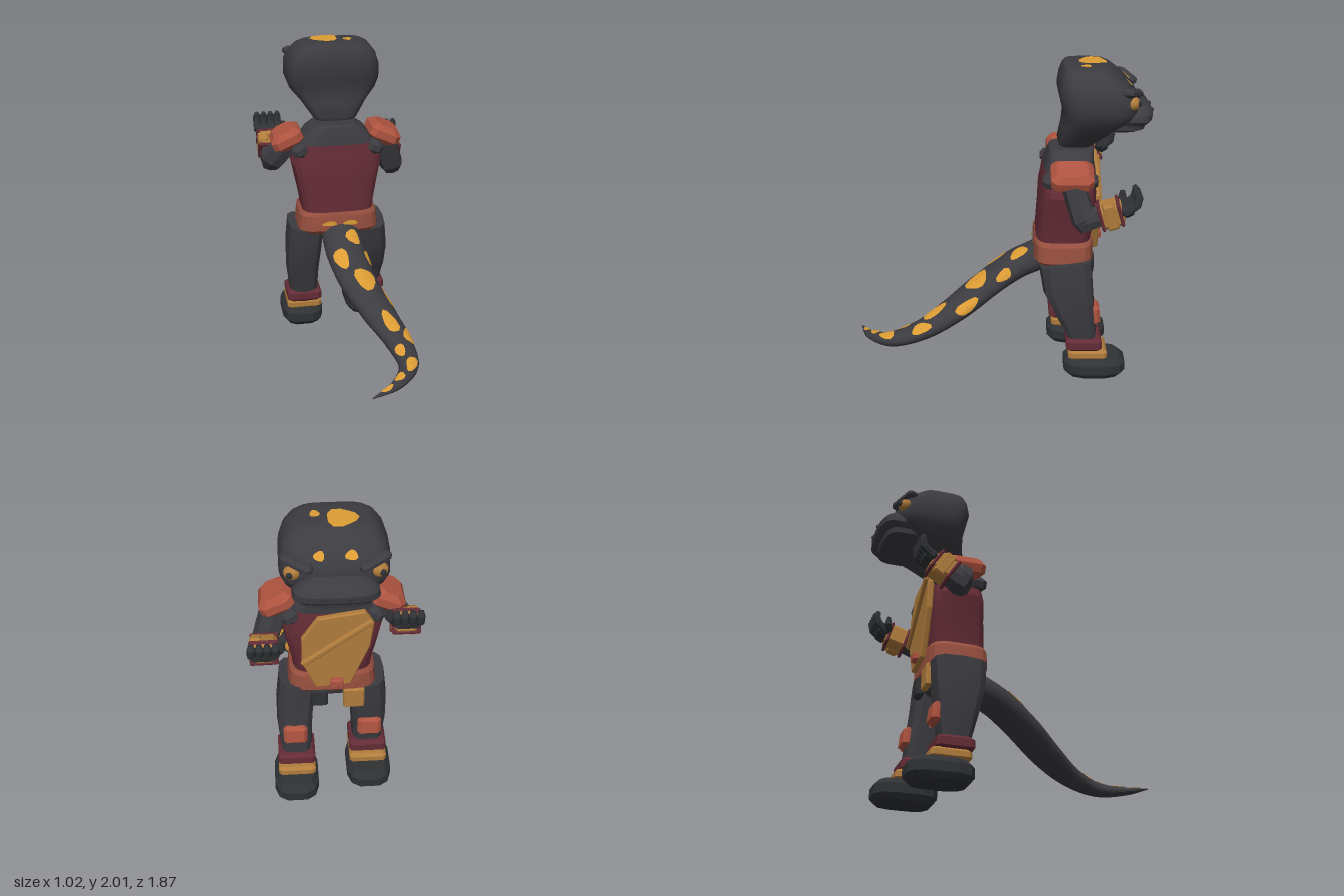
import * as THREE from 'three';
import { toCreasedNormals } from 'three/addons/utils/BufferGeometryUtils.js';

const V = (x, y, z) => new THREE.Vector3(x, y, z);
const mat = (name, color) => Object.assign(new THREE.MeshStandardMaterial({ color }), { name });
const pow = (v, e) => Math.sign(v) * Math.abs(v) ** e;

// Skin a row of equal-sized rings, with optional end caps
function loft(rings, crease = 0.6, caps = true) {
  const n = rings[0].length, pos = [];
  const tri = (...ps) => ps.forEach(p => pos.push(p.x, p.y, p.z));
  for (let i = 0; i + 1 < rings.length; i++) for (let k = 0; k < n; k++) {
    const a = rings[i], b = rings[i + 1], j = (k + 1) % n;
    tri(a[k], b[k], a[j]);
    tri(b[k], b[j], a[j]);
  }
  if (caps) [rings[0], rings[rings.length - 1]].forEach((r, end) => {
    const c = r.reduce((s, p) => s.add(p), V(0, 0, 0)).divideScalar(n);
    for (let k = 0; k < n; k++) {
      const j = (k + 1) % n;
      end ? tri(c, r[j], r[k]) : tri(c, r[k], r[j]);
    }
  });
  const g = new THREE.BufferGeometry();
  g.setAttribute('position', new THREE.Float32BufferAttribute(pos, 3));
  return toCreasedNormals(g, crease);
}

// Horizontal rounded rings from rows [y, half width, back z, front z]
function stack(rows, e = 0.5, n = 24, crease = 0.6) {
  return loft(rows.map(([y, w, zb, zf]) => Array.from({ length: n }, (_, k) => {
    const a = (k + 0.5) / n * Math.PI * 2;
    return V(-w * pow(Math.sin(a), e), y, (zb + zf) / 2 + (zb - zf) / 2 * pow(Math.cos(a), e));
  })), crease);
}

// Box with chamfered edges
function block(w, h, d, c = 0.02) {
  const row = (y, s) => {
    const x = w / 2 - s, z = d / 2 - s;
    return [[x - c, z], [-x + c, z], [-x, z - c], [-x, -z + c], [-x + c, -z], [x - c, -z], [x, -z + c], [x, z - c]]
      .map(p => V(p[0], y, p[1]));
  };
  return loft([row(-h / 2, c), row(-h / 2 + c, 0), row(h / 2 - c, 0), row(h / 2, c)], 0.1);
}

// Sweep along rows [x, y, z, side radius, up radius]
function sweep(rows, ref, e = 0.75, n = 10, crease = 0.5) {
  const p = rows.map(r => V(r[0], r[1], r[2]));
  return loft(rows.map((r, i) => {
    const t = p[Math.min(i + 1, p.length - 1)].clone().sub(p[Math.max(i - 1, 0)]).normalize();
    const side = ref.clone().cross(t).normalize(), up = t.clone().cross(side);
    return Array.from({ length: n }, (_, k) => {
      const a = k / n * Math.PI * 2;
      return p[i].clone().addScaledVector(side, r[3] * pow(Math.sin(a), e)).addScaledVector(up, r[4] * pow(Math.cos(a), e));
    });
  }), crease);
}

// Thin blotch laid on a surface; at(u, v) gives a point on it
function patch(at, u, v, ru, rv, seed) {
  return loft([0.02, 0.35, 0.7, 1].map(s => Array.from({ length: 12 }, (_, k) => {
    const a = k / 12 * Math.PI * 2, w = s * (1 + 0.12 * Math.sin(3 * a + seed));
    return at(u + ru * w * Math.sin(a), v + rv * w * Math.cos(a));
  })), 1, false);
}

export function createModel() {
  const root = new THREE.Group();
  const dark = mat('charcoal', 0x3b3b40), black = mat('black', 0x2f3134), maroon = mat('maroon', 0x642c36);
  const red = mat('brick red', 0xae5340), rust = mat('rust belt', 0x98503f), tan = mat('tan leather', 0xb07c3c);
  const gold = mat('gold spots', 0xdc9c34);
  gold.side = THREE.DoubleSide;
  const add = (name, geo, m, at = [0, 0, 0], rot = [0, 0, 0], parent = root) => {
    const o = new THREE.Mesh(geo, m);
    o.name = name;
    o.position.set(...at);
    o.rotation.set(...rot);
    parent.add(o);
    return o;
  };

  // Torso
  add('shoulders', stack([[1.28, 0.275, -0.26, -0.575], [1.36, 0.25, -0.265, -0.585], [1.43, 0.2, -0.29, -0.58],
    [1.47, 0.14, -0.3, -0.58], [1.48, 0.12, -0.32, -0.56]], 0.5, 20, 0.4), dark);
  add('tunic', stack([[0.87, 0.24, -0.22, -0.57], [0.95, 0.245, -0.225, -0.58], [1.1, 0.275, -0.235, -0.6],
    [1.22, 0.3, -0.24, -0.6], [1.3, 0.28, -0.255, -0.595], [1.36, 0.25, -0.262, -0.59]], 0.5, 20, 0.4), maroon);
  add('belt', stack([[0.75, 0.255, -0.23, -0.57], [0.775, 0.272, -0.21, -0.59], [0.88, 0.262, -0.21, -0.59],
    [0.905, 0.245, -0.22, -0.58]], 0.45, 20, 0.4), rust);
  add('pelvis', stack([[0.66, 0.1, -0.32, -0.5], [0.71, 0.2, -0.27, -0.55], [0.78, 0.24, -0.25, -0.56]], 0.5, 16), dark);
  for (const x of [-0.07, 0.07]) add('beltSpot', patch((u, v) => V(u, v, -0.205), x, 0.83, 0.05, 0.017, 1), gold);

  // Chest apron, strap and pouches
  const apron = new THREE.Shape([[0.08, 1.34], [0.17, 1.2], [0.17, 1.02], [0.09, 0.83], [-0.11, 0.85],
    [-0.22, 1.13], [-0.24, 1.3], [-0.19, 1.38]].map(p => new THREE.Vector2(...p)));
  add('chestApron', new THREE.ExtrudeGeometry(apron, { depth: 0.025, bevelSize: 0.008, bevelThickness: 0.008, bevelSegments: 1 }),
    tan, [0.01, 0, -0.612]);
  add('apronStrap', block(0.52, 0.04, 0.03, 0.01), tan, [-0.02, 1.175, -0.628], [0, 0, -0.64]);
  add('buckle', block(0.08, 0.06, 0.04, 0.01), red, [-0.02, 0.87, -0.63]);
  add('tanPouch', block(0.13, 0.15, 0.04, 0.01), tan, [-0.13, 0.7, -0.58]);
  add('darkPouch', block(0.1, 0.13, 0.05, 0.012), black, [0.08, 0.71, -0.575]);

  // Head
  const headRows = [[1.5, 0.13, -0.36, -0.57], [1.52, 0.15, -0.352, -0.59], [1.62, 0.222, -0.375, -0.71], [1.69, 0.285, -0.382, -0.8],
    [1.75, 0.308, -0.37, -0.83], [1.85, 0.305, -0.345, -0.82], [1.92, 0.28, -0.355, -0.75], [1.97, 0.24, -0.37, -0.69],
    [1.993, 0.2, -0.385, -0.65], [2, 0.15, -0.41, -0.6]];
  add('head', stack(headRows, 0.5, 32, 0.7), dark);
  add('upperJaw', stack([[1.665, 0.225, -0.7, -0.9], [1.69, 0.242, -0.7, -0.925], [1.73, 0.235, -0.7, -0.928],
    [1.77, 0.2, -0.7, -0.9], [1.8, 0.14, -0.7, -0.85]], 0.6), dark);
  add('lowerJaw', stack([[1.61, 0.17, -0.62, -0.85], [1.63, 0.21, -0.62, -0.885], [1.69, 0.215, -0.62, -0.895]], 0.6), dark);
  for (const s of [-1, 1]) {
    add('nostril', new THREE.SphereGeometry(0.016, 8, 6), dark, [s * 0.07, 1.725, -0.922]);
    const eye = add('eye', new THREE.SphereGeometry(0.05, 12, 8), tan, [s * 0.235, 1.81, -0.785]);
    eye.scale.set(1, 0.85, 0.9);
    add('pupil', new THREE.SphereGeometry(0.02, 8, 6), black, [s * 0.25, 1.812, -0.818]);
    add('brow', block(0.19, 0.055, 0.075, 0.018), dark, [s * 0.21, 1.865, -0.785], [0, -s * 0.5, s * 0.22]);
  }
  // Crown and forehead blotches follow the brow profile
  const crown = (x, z) => {
    for (let i = 5; i < 9; i++) {
      const [y0, , , f0] = headRows[i], [y1, , , f1] = headRows[i + 1];
      if (z < f1) return V(x, y0 + (y1 - y0) * (z - f0) / (f1 - f0) + 0.006, z - 0.003);
    }
    return V(x, 2.004, z);
  };
  [[-0.045, -0.56, 0.088, 0.085], [0.1, -0.515, 0.028, 0.034], [-0.085, -0.775, 0.035, 0.02], [0.09, -0.775, 0.03, 0.02]]
    .forEach((p, i) => add('headSpot', patch(crown, ...p, i), gold));

  // Arms: shoulder pad, bent limb, gauntlet and hand
  const arms = [
    { s: 1, elbow: [0.4, 1.13, -0.5], wrist: [0.41, 1.2, -0.73], hand: [0, 0.5, -0.85] },
    { s: -1, elbow: [-0.42, 1.22, -0.47], wrist: [-0.42, 1.33, -0.645], hand: [0, 0.5, -0.8] }];
  for (const { s, elbow, wrist, hand } of arms) {
    add('shoulderPad', block(0.21, 0.12, 0.26, 0.035), red, [s * 0.325, 1.385, -0.43], [0, 0, -s * 0.42]);
    add('shoulderJoint', block(0.1, 0.09, 0.34, 0.025), dark, [s * 0.25, 1.325, -0.425], [0, 0, -s * 0.4]);
    add('upperArm', sweep([[s * 0.29, 1.38, -0.42, 0.06, 0.06], [s * 0.34, 1.32, -0.44, 0.085, 0.075],
      [...elbow, 0.08, 0.075], [elbow[0] + s * 0.01, elbow[1] - 0.05, elbow[2] - 0.03, 0.055, 0.055]], V(0, 0, 1), 0.7, 8, 0.3), dark);
    add('forearm', sweep([[...elbow, 0.07, 0.075], [...wrist, 0.05, 0.055]], V(1, 0, 0), 0.7, 8, 0.3), dark);
    const e = V(...elbow), w = V(...wrist), dir = w.clone().sub(e).normalize();
    const cuff = new THREE.Group();
    cuff.name = 'gauntlet';
    cuff.position.copy(w).addScaledVector(dir, -0.07);
    cuff.quaternion.setFromUnitVectors(V(0, 1, 0), dir);
    add('gauntletSleeve', block(0.155, 0.15, 0.14), tan, [0, 0, 0], [0, 0, 0], cuff);
    for (const y of [-0.062, 0.055]) add('gauntletBand', block(0.168, 0.022, 0.152, 0.008), maroon, [0, y, 0], [0, 0, 0], cuff);
    add('gauntletPlate', block(0.07, 0.08, 0.165, 0.012), tan, [s * 0.045, -0.003, 0], [0, 0, 0], cuff);
    const palm = new THREE.Group();
    palm.name = 'hand';
    palm.position.copy(w);
    palm.quaternion.setFromUnitVectors(V(0, 1, 0), V(...hand).normalize());
    add('palm', block(0.165, 0.09, 0.075, 0.022), black, [0, 0.03, 0], [0, 0, 0], palm);
    for (let i = 0; i < 4; i++) {
      const x = (i - 1.5) * 0.046;
      add('finger', sweep([[x, 0.04, 0, 0.024, 0.024], [x, 0.095, 0.01, 0.028, 0.025], [x, 0.128, 0.045, 0.026, 0.024],
        [x, 0.13, 0.075, 0.014, 0.014]], V(1, 0, 0), 0.85, 8, 0.4), black, [0, 0, 0], [0, 0, 0], palm);
    }
    add('thumb', sweep([[-s * 0.06, 0, 0, 0.026, 0.026], [-s * 0.1, 0.03, 0.03, 0.026, 0.026], [-s * 0.1, 0.05, 0.07, 0.016, 0.016]],
      V(1, 0, 0), 0.8, 8, 0.4), black, [0, 0, 0], [0, 0, 0], palm);
    root.add(cuff, palm);
  }

  // Legs: the right one stands slightly further back
  for (const s of [-1, 1]) {
    const b = s < 0 ? 0.09 : 0;
    add('leg', sweep([[s * 0.23, 0.15, -0.53 + b, 0.085, 0.085], [s * 0.23, 0.3, -0.52 + b, 0.1, 0.1], [s * 0.235, 0.45, -0.475 + b * 0.6, 0.112, 0.13],
      [s * 0.228, 0.6, -0.43 + b * 0.2, 0.12, 0.16], [s * 0.21, 0.77, -0.41, 0.12, 0.17]], V(0, 0, 1), 0.6, 12, 0.35), dark);
    add('kneePad', block(0.15, 0.13, 0.06), red, [s * 0.235, 0.425, -0.605 + b * 0.6], [0.1, 0, 0]);
    add('shinCuff', block(0.235, 0.085, 0.23, 0.018), maroon, [s * 0.23, 0.23, -0.535 + b]);
    add('ankleWrap', block(0.235, 0.07, 0.25, 0.018), tan, [s * 0.23, 0.16, -0.56 + b]);
    add('boot', stack([[0, 0.12, 0.17, -0.17], [0.035, 0.143, 0.2, -0.205], [0.095, 0.143, 0.2, -0.205],
      [0.135, 0.11, 0.165, -0.165]], 0.62, 12, 0.2), black, [s * 0.235, 0, -0.605 + b]);
  }

  // Tail: spine points with side and up radius, spaced evenly by index
  const spine = [[0.01, 0.755, -0.3, 0.13, 0.1], [0.02, 0.665, -0.1, 0.135, 0.088], [0.07, 0.535, 0.1, 0.128, 0.077],
    [0.165, 0.405, 0.3, 0.115, 0.071], [0.25, 0.305, 0.5, 0.088, 0.06], [0.27, 0.246, 0.7, 0.062, 0.046],
    [0.16, 0.218, 0.85, 0.036, 0.026], [0, 0.195, 0.93, 0.004, 0.004]];
  const curve = new THREE.CatmullRomCurve3(spine.map(p => V(p[0], p[1], p[2])));
  const tailAt = (ang, i, lift = 0.004) => {
    const u = THREE.MathUtils.clamp(i / 7, 0, 1), j = Math.min(Math.floor(u * 7), 6);
    const r = c => THREE.MathUtils.lerp(spine[j][c], spine[j + 1][c], u * 7 - j) + lift;
    const t = curve.getTangent(u), side = V(0, 1, 0).cross(t).normalize(), up = t.clone().cross(side);
    return curve.getPoint(u).addScaledVector(side, r(3) * Math.sin(ang)).addScaledVector(up, r(4) * Math.cos(ang));
  };
  add('tail', loft(Array.from({ length: 43 }, (_, i) =>
    Array.from({ length: 20 }, (_, k) => tailAt(k / 20 * Math.PI * 2, i / 6, 0))), 1), dark);
  // Tail blotches: [angle, position, half angle, half length]
  [[0.4, 0.75, 0.36, 0.28], [-0.6, 1.35, 0.4, 0.29], [1.1, 1.42, 0.36, 0.25], [0.1, 2.1, 0.55, 0.34], [1.15, 2.75, 0.45, 0.33],
    [-0.1, 3.5, 0.42, 0.38], [0.75, 4.05, 0.5, 0.28], [-0.55, 4.5, 0.45, 0.24], [0.4, 5.1, 0.6, 0.3], [-0.1, 5.75, 0.6, 0.22],
    [0, 6.4, 0.7, 0.25]]
    .forEach((p, i) => add('tailSpot', patch(tailAt, ...p, i), gold));
  return root;
}
